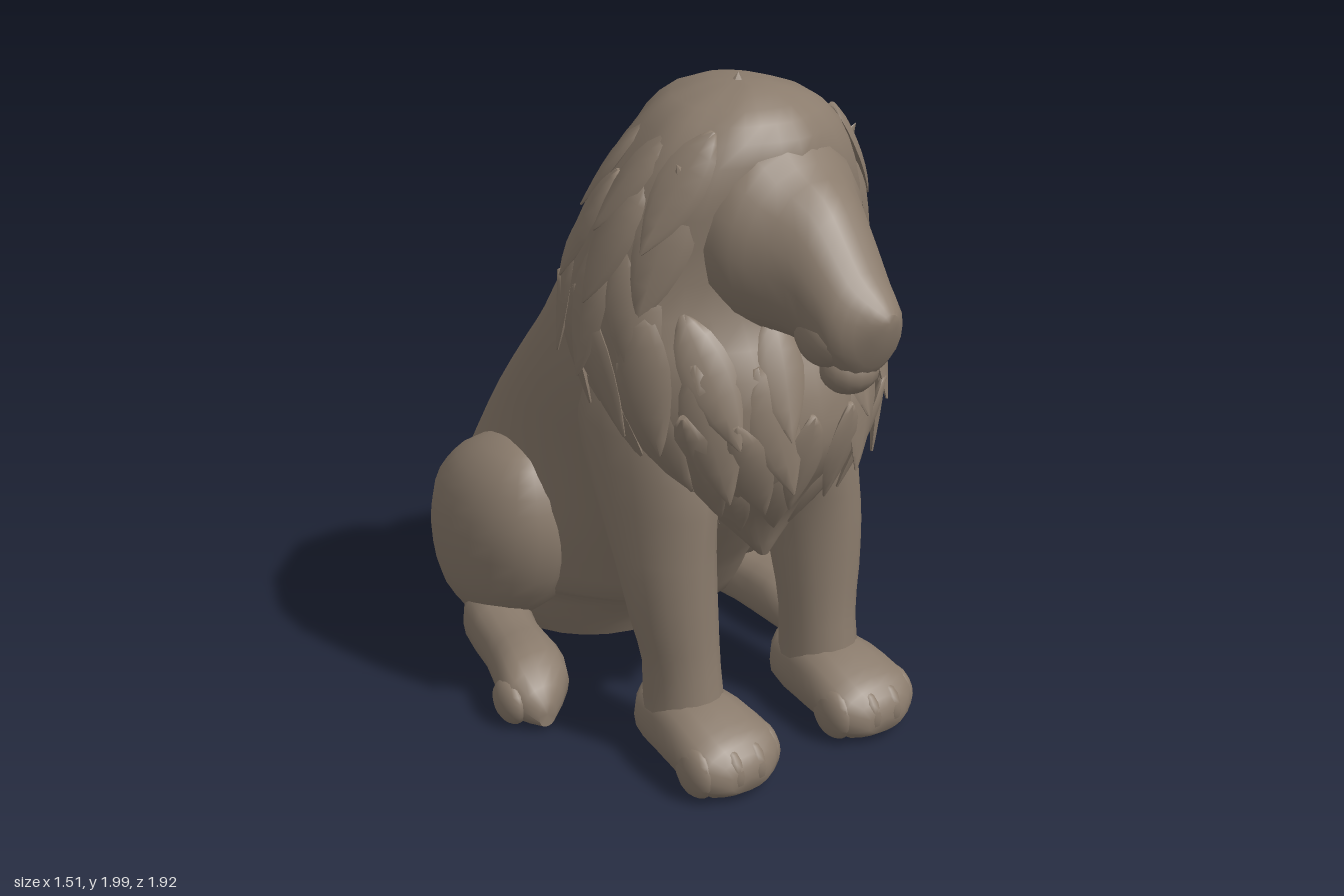
import * as THREE from 'three';
import { toCreasedNormals } from 'three/addons/utils/BufferGeometryUtils.js';

const stone = new THREE.MeshStandardMaterial({ color: 0x8a7b6c });
stone.name = 'warm stone';
const MID = -0.14; // centre line of head, mane and forelegs
const V = (x, y, z) => new THREE.Vector3(x, y, z);
const bend = (v, power) => Math.sign(v) * Math.abs(v) ** power;

// Smooth value between ring b and ring c
const spline = (a, b, c, d, t) =>
  b + 0.5 * t * (c - a + t * (2 * a - 5 * b + 4 * c - d + t * (3 * (b - c) + d - a)));

// Level ring from [y, back z, front z, half width, centre x, front taper]
const level = ([y, back, front, a, x = 0, taper = 0]) => [x, y, (back + front) / 2, a, (front - back) / 2, taper];

// Skin elliptical rings [x, y, z, halfWidth, halfDepth, taper].
// forward = false: level rings listed upwards; true: upright rings listed towards +z.
function loft(rings, { sides = 16, steps = 2, forward = false, power = 1, ruffle = null, crease = 0.9 } = {}) {
  const list = [];
  for (let i = 0; i < rings.length - 1; i++) {
    const p = [rings[Math.max(i - 1, 0)], rings[i], rings[i + 1], rings[Math.min(i + 2, rings.length - 1)]];
    for (let s = 0; s < steps; s++) {
      list.push(p[1].map((_, k) => spline(p[0][k], p[1][k], p[2][k], p[3][k], s / steps)));
    }
  }
  list.push(rings[rings.length - 1]);
  const pos = [], index = [];
  for (const [x, y, z, a, b, taper = 0] of list) {
    for (let j = 0; j < sides; j++) {
      const t = (j / sides) * Math.PI * 2;
      const r = ruffle ? ruffle(t, y) : 1;
      const u = a * r * bend(Math.cos(t), power) * (1 - taper * Math.sin(t));
      const v = b * r * bend(Math.sin(t), power);
      if (forward) pos.push(x + u, y - v, z);
      else pos.push(x + u, y, z + v);
    }
  }
  for (let i = 0; i < list.length - 1; i++) {
    for (let j = 0; j < sides; j++) {
      const k = (j + 1) % sides, p = i * sides, q = p + sides;
      index.push(p + j, q + j, p + k, p + k, q + j, q + k);
    }
  }
  // End caps
  const first = list[0], last = list[list.length - 1], n = pos.length / 3;
  pos.push(first[0], first[1], first[2], last[0], last[1], last[2]);
  const top = (list.length - 1) * sides;
  for (let j = 0; j < sides; j++) {
    const k = (j + 1) % sides;
    index.push(n, j, k, n + 1, top + k, top + j);
  }
  const geo = new THREE.BufferGeometry();
  geo.setAttribute('position', new THREE.Float32BufferAttribute(pos, 3));
  geo.setIndex(index);
  return toCreasedNormals(geo, crease);
}

export function createModel() {
  const lion = new THREE.Group();
  lion.name = 'sittingLion';
  const add = (name, geo) => {
    const mesh = new THREE.Mesh(geo, stone);
    mesh.name = name;
    lion.add(mesh);
    return mesh;
  };
  const blob = (name, x, y, z, rx, ry, rz) => {
    const mesh = add(name, new THREE.SphereGeometry(1, 14, 10));
    mesh.position.set(x, y, z);
    mesh.scale.set(rx, ry, rz);
  };

  // Torso: broad rump, keel-shaped belly and chest
  add('torso', loft([
    [0.02, -0.76, -0.22, 0.32, -0.04, 0.1], [0.12, -0.88, -0.16, 0.41, -0.04, 0.15],
    [0.22, -0.94, -0.06, 0.43, -0.05, 0.25], [0.27, -0.945, 0.11, 0.43, -0.06, 0.4],
    [0.42, -0.92, 0.21, 0.42, -0.07, 0.4], [0.6, -0.86, 0.34, 0.37, -0.09, 0.25],
    [0.8, -0.74, 0.46, 0.35, -0.11, 0.1], [1.0, -0.56, 0.5, 0.36, -0.13, 0],
    [1.2, -0.37, 0.5, 0.36, MID, 0], [1.4, -0.23, 0.45, 0.33, MID, 0], [1.6, -0.12, 0.4, 0.25, MID, 0],
  ].map(level), { sides: 24, power: 0.95 }));

  // Mane, broadest towards the face
  const maneRings = [
    [0.6, 0.44, 0.48, 0.015], [0.72, 0.34, 0.53, 0.12], [0.84, 0.22, 0.61, 0.23],
    [0.98, 0.05, 0.7, 0.33], [1.1, -0.1, 0.71, 0.4], [1.25, -0.2, 0.68, 0.44],
    [1.4, -0.2, 0.6, 0.445], [1.6, -0.11, 0.59, 0.405], [1.75, -0.03, 0.61, 0.345],
    [1.87, 0.05, 0.59, 0.265], [1.94, 0.13, 0.52, 0.18], [1.98, 0.25, 0.43, 0.06],
  ].map((ring) => level([...ring, MID, -0.14]));
  const ruffle = (t, y) => 1 + 0.018 * Math.sin(t * 9 + y * 7) + 0.012 * Math.sin(t * 5 - y * 17);
  add('mane', loft(maneRings, { sides: 36, ruffle, crease: 0.9 }));

  // Long flat locks lying along the mane, leaving the face clear
  const lock = loft([
    [0, -0.2, 0.006, 0.004, 0.004], [0, -0.1, 0.002, 0.05, 0.014],
    [0, 0.02, -0.004, 0.075, 0.02], [0, 0.13, -0.015, 0.055, 0.016], [0, 0.2, -0.03, 0.01, 0.01],
  ], { sides: 8, crease: 1.2 });
  const onMane = (row, t) => {
    const [x, y, z, a, b, taper] = maneRings[row];
    return V(x + a * Math.sin(t) * (1 - taper * Math.cos(t)), y, z + b * Math.cos(t));
  };
  // [ring, first angle from the front, spacing, size]
  const rows = [
    [2, 14, 32, 0.75], [3, 8, 24, 0.9], [4, 18, 24, 0.95], [5, 12, 24, 1],
    [6, 58, 24, 1], [7, 52, 26, 1], [8, 56, 30, 0.85],
  ];
  for (const [row, start, gap, size] of rows) {
    for (let deg = start; deg < 120; deg += gap) {
      for (const side of [-1, 1]) {
        const t = side * THREE.MathUtils.degToRad(deg + (side > 0 ? 5 : 0));
        const up = onMane(row + 1, t).sub(onMane(row - 1, t)).normalize();
        const across = V().crossVectors(up, onMane(row, t - 0.1).sub(onMane(row, t + 0.1)).cross(up).negate());
        const along = onMane(row, t + 0.1).sub(onMane(row, t - 0.1));
        across.copy(along.addScaledVector(up, -along.dot(up)).normalize());
        const mesh = add('maneLock', lock);
        mesh.position.copy(onMane(row, t));
        mesh.quaternion.setFromRotationMatrix(
          new THREE.Matrix4().makeBasis(across, up, V().crossVectors(across, up)));
        mesh.rotateZ(side * 0.12 * Math.sin(deg * 1.7));
        mesh.scale.setScalar(size * (1 + 0.1 * Math.sin(deg + row)));
      }
    }
  }
  // Crown tuft
  const crown = add('crownTuft', new THREE.ConeGeometry(0.06, 0.08, 5));
  crown.position.set(-0.15, 1.96, 0.35);

  // Head and muzzle: [z, top y, bottom y, half width]
  const head = [
    [0.35, 1.9, 1.3, 0.29], [0.55, 1.88, 1.32, 0.255], [0.63, 1.81, 1.34, 0.21],
    [0.73, 1.75, 1.33, 0.155], [0.8, 1.67, 1.3, 0.135], [0.87, 1.58, 1.29, 0.115],
    [0.915, 1.53, 1.33, 0.085], [0.96, 1.49, 1.44, 0.03],
  ].map(([z, top, low, a]) => [MID + (z > 0.9 ? 0.01 : 0), (top + low) / 2, z, a, (top - low) / 2]);
  add('head', loft(head, { forward: true, sides: 18 }));
  blob('chin', MID - 0.01, 1.305, 0.83, 0.085, 0.07, 0.075);
  for (const side of [-1, 1]) {
    blob('muzzlePad', MID + side * 0.06, 1.4, 0.79, 0.075, 0.09, 0.1);
    const ear = add('ear', new THREE.ConeGeometry(0.06, 0.12, 6));
    ear.position.set(MID + side * 0.275, 1.78, 0.46);
    ear.scale.z = 0.6;
    ear.rotation.set(0.2, 0, -side * 0.55);
  }

  // Forelegs with toed paws
  for (const side of [-1, 1]) {
    const x = (d) => -0.135 + side * d;
    add('foreleg', loft([
      [x(0.255), 0.1, 0.42, 0.115, 0.14], [x(0.255), 0.3, 0.405, 0.108, 0.125],
      [x(0.265), 0.45, 0.38, 0.122, 0.145], [x(0.27), 0.6, 0.35, 0.13, 0.175],
      [x(0.265), 0.72, 0.31, 0.135, 0.215], [x(0.245), 0.9, 0.25, 0.15, 0.27],
      [x(0.21), 1.1, 0.19, 0.16, 0.26], [x(0.16), 1.25, 0.18, 0.12, 0.18],
    ]));
    add('forepaw', loft([
      [x(0.255), 0.13, 0.25, 0.04, 0.05], [x(0.255), 0.11, 0.3, 0.095, 0.092],
      [x(0.255), 0.12, 0.42, 0.125, 0.11], [x(0.255), 0.12, 0.53, 0.145, 0.11],
      [x(0.255), 0.105, 0.63, 0.155, 0.095], [x(0.255), 0.09, 0.69, 0.14, 0.08],
      [x(0.255), 0.08, 0.735, 0.07, 0.04],
    ], { forward: true, power: 0.85 }));
    for (let i = 0; i < 4; i++) {
      const d = (i - 1.5) * 0.076;
      blob('toe', x(0.255) + d, 0.09, 0.665 - d * d * 3, 0.045, 0.08, 0.08);
    }
  }

  // Haunches and hind feet
  const haunch = loft([
    [0.1, -0.6, -0.3, 0.1], [0.2, -0.68, -0.15, 0.165], [0.32, -0.71, -0.06, 0.195],
    [0.45, -0.7, -0.02, 0.205], [0.56, -0.65, -0.03, 0.19], [0.65, -0.55, -0.07, 0.15],
    [0.71, -0.42, -0.13, 0.09], [0.735, -0.3, -0.2, 0.03],
  ].map(level), { sides: 20 });
  add('leftHaunch', haunch).position.set(0.31, 0, 0);
  const rightHaunch = add('rightHaunch', haunch);
  rightHaunch.position.set(-0.43, 0, -0.14);
  rightHaunch.scale.z = 0.88;

  const hindFoot = (name, x0, z0, x1, z1) => {
    const at = (t, y, a, b) => [x0 + (x1 - x0) * t, y, z0 + (z1 - z0) * t, a, b];
    add(name, loft([
      at(0, 0.1, 0.05, 0.05), at(0.2, 0.11, 0.11, 0.1), at(0.5, 0.105, 0.1, 0.095),
      at(0.72, 0.11, 0.115, 0.1), at(0.88, 0.095, 0.11, 0.085), at(1, 0.065, 0.03, 0.04),
    ], { forward: true, power: 0.85 }));
    for (let i = -1; i < 2; i++) {
      blob('hindToe', x1 + i * 0.06, 0.08, z1 - 0.09 - Math.abs(i) * 0.02, 0.042, 0.07, 0.075);
    }
  };
  hindFoot('leftHindFoot', 0.32, -0.55, 0.345, 0.215);
  hindFoot('rightHindFoot', -0.45, -0.6, -0.65, 0.09);

  // Tail curling round the left side, ending in a tuft
  const path = new THREE.CatmullRomCurve3([
    V(0, 0.27, -0.86), V(0.18, 0.23, -0.895), V(0.38, 0.16, -0.81),
    V(0.55, 0.1, -0.65), V(0.64, 0.085, -0.46), V(0.66, 0.085, -0.34),
  ]);
  add('tail', new THREE.TubeGeometry(path, 20, 0.062, 10));
  add('tailTuft', loft([
    [0.655, 0.085, -0.42, 0.05, 0.05], [0.66, 0.085, -0.33, 0.08, 0.065],
    [0.655, 0.085, -0.24, 0.105, 0.08], [0.62, 0.08, -0.14, 0.085, 0.07], [0.58, 0.06, -0.04, 0.01, 0.015],
  ], { forward: true, sides: 10 }));

  return lion;
}
